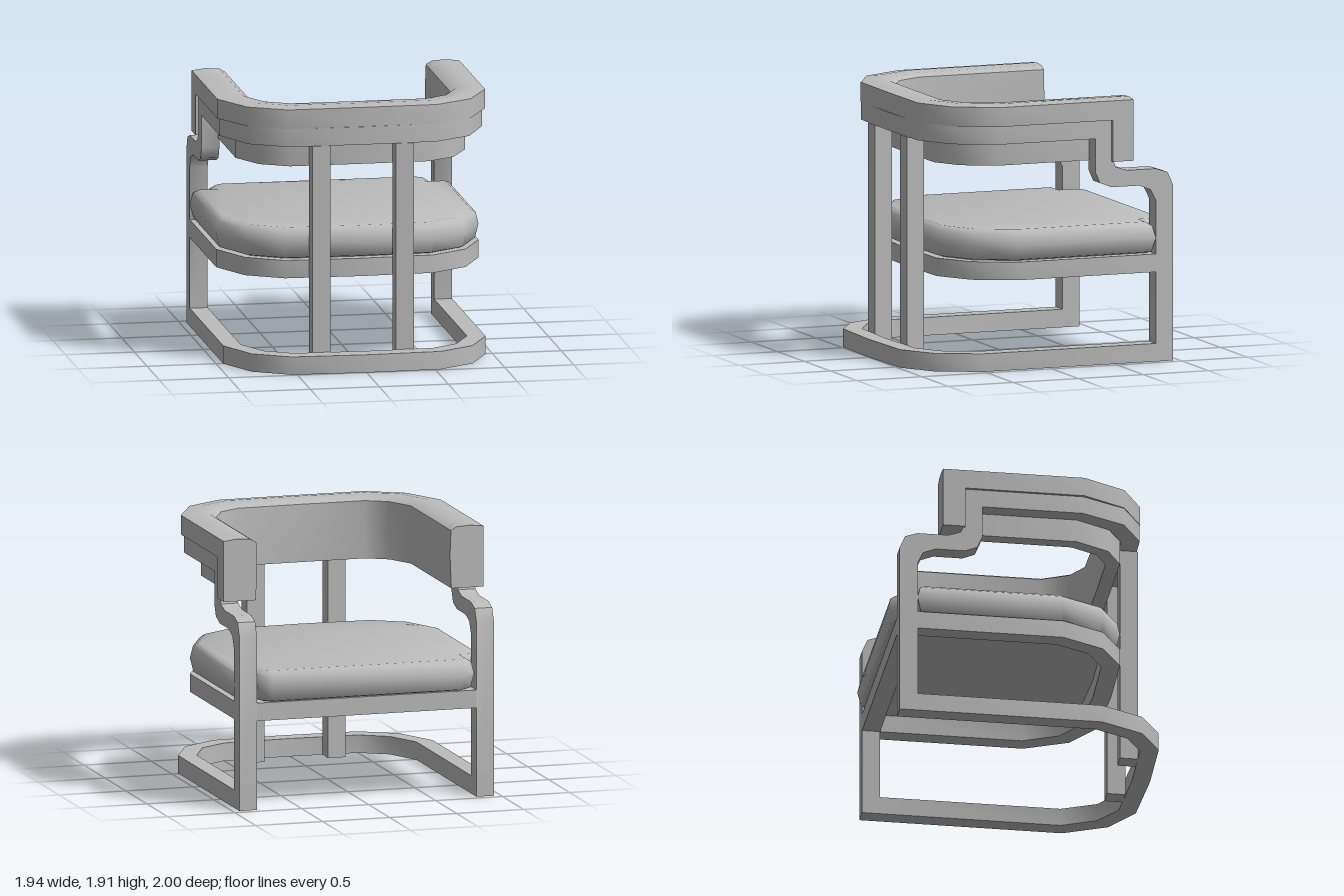
import * as THREE from 'three';
import { toCreasedNormals } from 'three/addons/utils/BufferGeometryUtils.js';

const grey = new THREE.MeshStandardMaterial({ color: 0xbcbcbc });
grey.name = 'plain grey';

// Mirrors a half outline [x, z] (from +x back to the middle of the front) into a full U.
const mirrorU = (half) => [...half, ...half.slice(0, -1).reverse().map(([x, z]) => [-x, z])];

// Moves an outline inwards by d with mitred corners.
function inset(points, d, closed) {
  const n = points.length;
  const normal = (i) => {
    const a = points[(i + n) % n], b = points[(i + 1) % n];
    const dx = b[0] - a[0], dz = b[1] - a[1], l = Math.hypot(dx, dz);
    return [dz / l, -dx / l];
  };
  return points.map(([x, z], i) => {
    const p = normal(!closed && i === 0 ? 0 : i - 1);
    const q = normal(!closed && i === n - 1 ? n - 2 : i);
    const k = d / (1 + p[0] * q[0] + p[1] * q[1]);
    return [x - (p[0] + q[0]) * k, z - (p[1] + q[1]) * k];
  });
}

// Triangles of a flat polygon, all counter-clockwise.
function fill(poly) {
  const v = poly.map(([x, y]) => new THREE.Vector2(x, y));
  return THREE.ShapeUtils.triangulateShape(v, []).map(([a, b, c]) => {
    const area = (v[b].x - v[a].x) * (v[c].y - v[a].y) - (v[c].x - v[a].x) * (v[b].y - v[a].y);
    return area > 0 ? [a, b, c] : [a, c, b];
  });
}

// Sweeps a profile of [inset, y] points along an outline. An open outline gets
// end caps; a closed outline gets a bottom and a top.
function sweep(path, profile, closed, crease) {
  const n = path.length, m = profile.length;
  const rings = profile.map(([d, y]) => inset(path, d, closed).map(([x, z]) => [x, y, z]));
  const index = [];
  const id = (i, k) => (k % m) * n + (i % n);
  for (let i = 0; i < (closed ? n : n - 1); i++) {
    for (let k = 0; k < (closed ? m - 1 : m); k++) {
      const a = id(i, k), b = id(i + 1, k), c = id(i + 1, k + 1), d = id(i, k + 1);
      index.push(a, d, c, a, c, b);
    }
  }
  if (closed) {
    for (const [a, b, c] of fill(rings[0].map(([x, , z]) => [x, z]))) index.push(a, b, c);
    for (const [a, b, c] of fill(rings[m - 1].map(([x, , z]) => [x, z]))) {
      index.push(id(a, m - 1), id(c, m - 1), id(b, m - 1));
    }
  } else {
    for (const [a, b, c] of fill(profile.map(([d, y]) => [-d, y]))) {
      index.push(id(0, a), id(0, c), id(0, b));
      index.push(id(n - 1, a), id(n - 1, b), id(n - 1, c));
    }
  }
  const g = new THREE.BufferGeometry();
  g.setAttribute('position', new THREE.Float32BufferAttribute(rings.flat(2), 3));
  g.setIndex(index);
  return toCreasedNormals(g, crease);
}

// Rectangular section for the wooden bars.
const bar = (y0, y1, w = 0.13) => [[0, y0], [0, y1], [w, y1], [w, y0]];

export function createModel() {
  const group = new THREE.Group();
  const add = (name, geometry, x = 0, y = 0, z = 0) => {
    const mesh = new THREE.Mesh(geometry, grey);
    mesh.name = name;
    mesh.position.set(x, y, z);
    group.add(mesh);
  };

  // Floor runner, open at the back
  const base = mirrorU([[0.95, -0.9], [0.95, 0.51], [0.8, 0.82], [0.54, 0.98], [0, 1.0]]);
  add('floorRunner', sweep(base, bar(0, 0.13), false, 0.7));

  // Seat frame and its rear bar
  const seat = [[0.95, -0.82], [0.95, 0.23], [0.8, 0.54], [0.54, 0.7], [0, 0.72]];
  add('seatFrame', sweep(mirrorU(seat), bar(0.645, 0.775), false, 0.7));
  add('seatRearBar', new THREE.BoxGeometry(1.64, 0.13, 0.13), 0, 0.71, -0.885);

  // Seat cushion, notched around the rear legs
  const cushion = [...mirrorU(seat),
    [-0.81, -0.82], [-0.81, -0.93], [-0.72, -1], [0.72, -1], [0.81, -0.93], [0.81, -0.82]];
  add('seatCushion', sweep(cushion,
    [[0.06, 0.778], [0.025, 0.79], [0, 0.89], [0.02, 0.975], [0.06, 1.003]], true, 1.0));

  // Rear legs that bend forwards and up into the arm band, drawn as [z, y]
  const leg = new THREE.Shape([
    [-0.95, 0], [-0.82, 0], [-0.82, 1.16], [-0.78, 1.24], [-0.69, 1.275], [-0.48, 1.275],
    [-0.39, 1.31], [-0.355, 1.39], [-0.355, 1.76], [-0.48, 1.76], [-0.48, 1.5],
    [-0.51, 1.42], [-0.6, 1.39], [-0.82, 1.39], [-0.91, 1.36], [-0.95, 1.27],
  ].map(([z, y]) => new THREE.Vector2(-z, y)));
  const legGeometry = toCreasedNormals(
    new THREE.ExtrudeGeometry(leg, { depth: 0.13, bevelEnabled: false }).rotateY(Math.PI / 2), 0.8);
  add('leftRearLeg', legGeometry, 0.82);
  add('rightRearLeg', legGeometry, -0.95);

  // Wooden band around the arms and backrest
  const band = mirrorU([[0.95, -0.36], [0.95, 0.37], [0.8, 0.69], [0.54, 0.843], [0, 0.857]]);
  add('armBand', sweep(band, bar(1.63, 1.76), false, 0.7));

  // Backrest posts
  for (const x of [-0.303, 0.303]) {
    add('backPost', new THREE.BoxGeometry(0.13, 1.63, 0.13), x, 0.815, 0.793);
  }

  // Backrest pad resting on the band and lining its inside
  const crown = [[0, 1.9], [0.1, 1.912], [0.2, 1.905], [0.243, 1.88], [0.25, 1.7], [0.24, 1.46]];
  const pad = mirrorU([[0.97, -0.48], [0.97, 0.38], [0.81, 0.69], [0.54, 0.845], [0, 0.85]]);
  add('backrestPad', sweep(pad, [[0, 1.76], ...crown, [0.14, 1.46], [0.14, 1.76]], false, 0.9));

  // Full-depth pad ends behind the arm uprights
  for (const [name, side] of [['leftPadEnd', 1], ['rightPadEnd', -1]]) {
    const end = side > 0 ? [[0.97, -0.64], [0.97, -0.48]] : [[-0.97, -0.48], [-0.97, -0.64]];
    add(name, sweep(end, [[0, 1.46], ...crown], false, 0.9));
  }
  return group;
}
